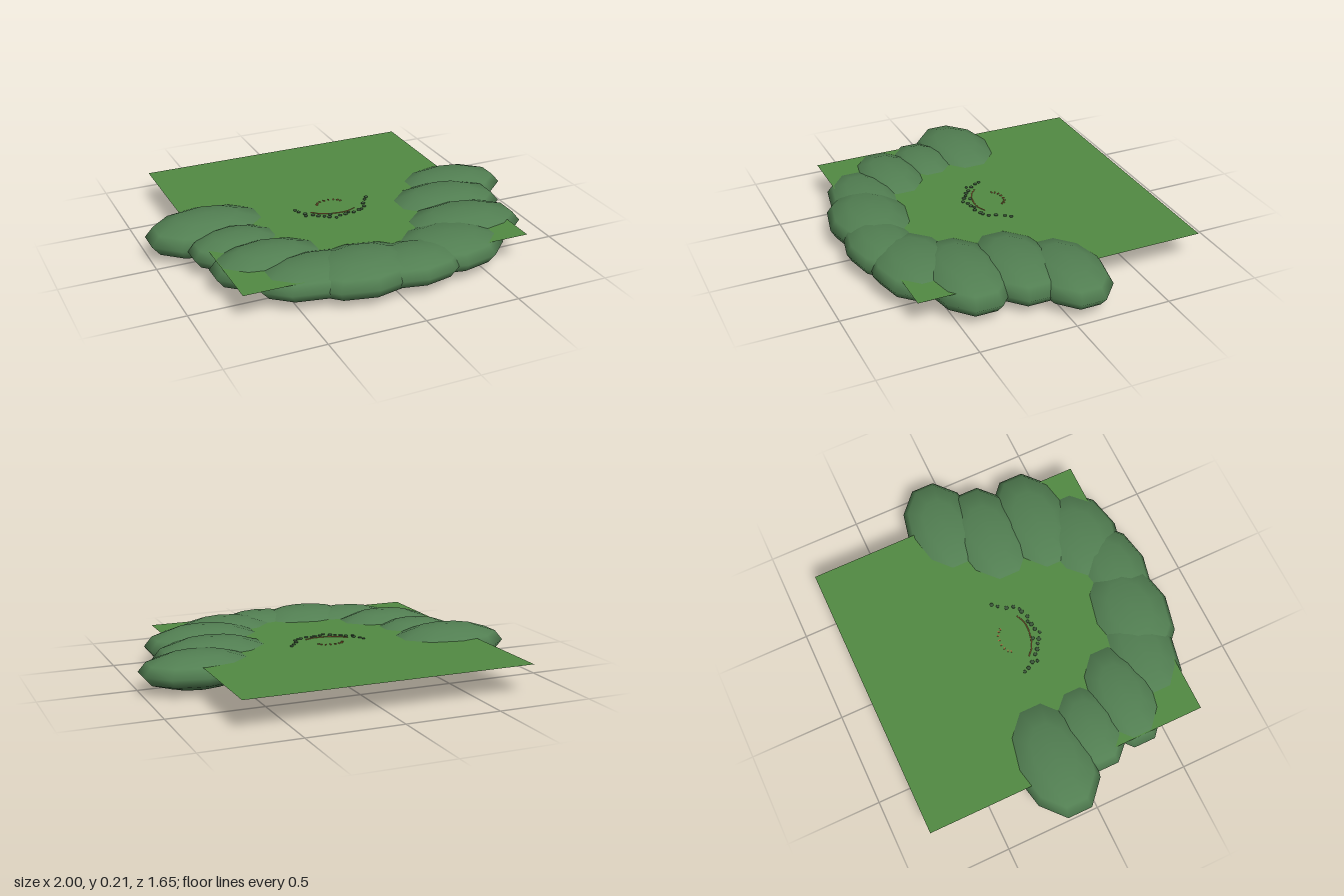
import * as THREE from 'three';

const material = (name, color, side = THREE.FrontSide) => {
  const m = new THREE.MeshStandardMaterial({ color, side });
  m.name = name;
  return m;
};

export function createModel() {
  const group = new THREE.Group();
  const grass = material('grassGreen', 0x528a43, THREE.DoubleSide);
  const leaf = material('bushGreen', 0x527f52);
  const stone = material('darkStone', 0x3a5638);
  const clay = material('clay', 0xa5703f);

  const add = (name, geometry, mat, x, y, z) => {
    const mesh = new THREE.Mesh(geometry, mat);
    mesh.name = name;
    mesh.position.set(x, y, z);
    group.add(mesh);
    return mesh;
  };

  // Lawn: one flat square sheet
  const lawnY = 0.155;
  add('lawn', new THREE.PlaneGeometry(1.52, 1.52).rotateX(-Math.PI / 2), grass, -0.028, lawnY, -0.07);

  // Horseshoe of flattened bushes: x, z, half width, half height, half depth
  const ball = new THREE.SphereGeometry(1, 10, 6).rotateY(Math.PI / 2);
  const bushes = [
    [-0.69, -0.105, 0.33, 0.105, 0.215],
    [-0.617, 0.13, 0.25, 0.09, 0.18],
    [-0.535, 0.355, 0.3, 0.1, 0.19],
    [-0.37, 0.556, 0.315, 0.09, 0.19],
    [-0.15, 0.605, 0.32, 0.102, 0.22],
    [0.11, 0.64, 0.28, 0.088, 0.185],
    [0.35, 0.555, 0.3, 0.093, 0.22],
    [0.53, 0.375, 0.33, 0.105, 0.215],
    [0.565, 0.115, 0.32, 0.103, 0.215],
    [0.71, -0.09, 0.305, 0.095, 0.2],
  ];
  bushes.forEach(([x, z, rx, ry, rz], i) => {
    add('bush' + (i + 1), ball, leaf, x, 0.105, z).scale.set(rx, ry, rz);
  });

  // Pebbles scattered along an arc on the lawn
  const pebble = new THREE.SphereGeometry(1, 8, 5);
  const pebbles = [
    [-0.227, -0.045], [-0.217, -0.019], [-0.195, 0.013], [-0.201, 0.04], [-0.163, 0.045],
    [-0.142, 0.067], [-0.115, 0.083], [-0.078, 0.072], [-0.094, 0.099], [-0.062, 0.12],
    [-0.035, 0.104], [-0.003, 0.099], [0.019, 0.088], [0.045, 0.099], [0.083, 0.083],
    [0.1, 0.078], [0.126, 0.056], [0.136, 0.019], [0.163, -0.019], [0.184, -0.045],
  ];
  pebbles.forEach(([x, z], i) => {
    const r = 0.009 + 0.003 * (i % 3) / 2;
    add('pebble' + (i + 1), pebble, stone, x, lawnY + 0.002, z).scale.set(r, 0.006, r);
  });

  // Thin clay edging line
  const edging = new THREE.CatmullRomCurve3([
    [-0.16, 0.01], [-0.12, 0.045], [-0.04, 0.07], [0.02, 0.07], [0.07, 0.05],
  ].map(([x, z]) => new THREE.Vector3(x, 0, z)));
  add('clayEdging', new THREE.TubeGeometry(edging, 16, 0.003, 5), clay, 0, lawnY + 0.001, 0);

  // Small clay flecks in an arch behind the edging
  const fleck = new THREE.BoxGeometry(0.012, 0.005, 0.006);
  for (let i = 0; i < 8; i++) {
    const a = Math.PI * (0.05 + 0.9 * i / 7);
    add('clayFleck' + (i + 1), fleck, clay,
      -0.028 + 0.068 * Math.cos(a), lawnY + 0.002, -0.055 - 0.038 * Math.sin(a)).rotation.y = a;
  }

  return group;
}
